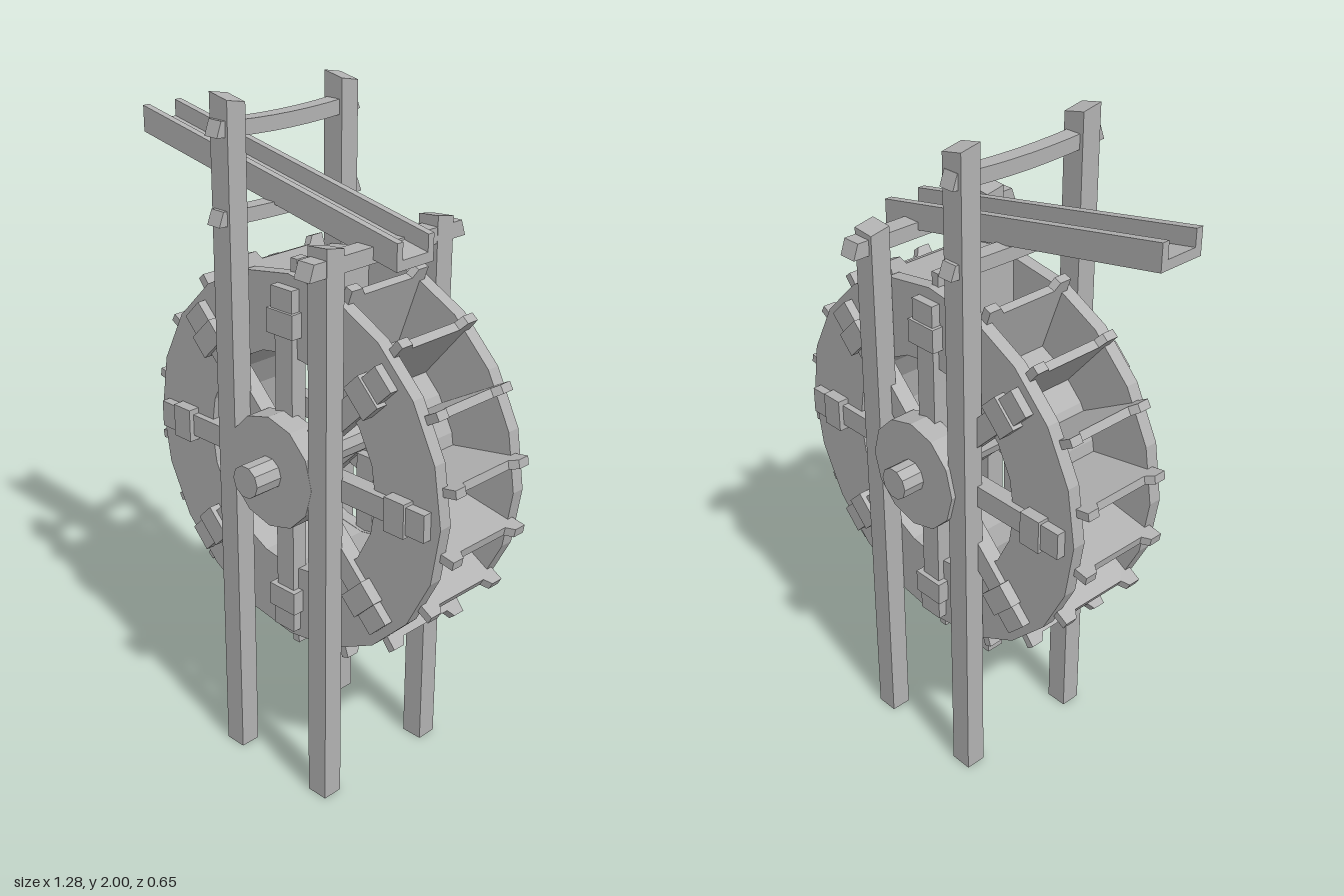
import * as THREE from 'three';

const wood = new THREE.MeshStandardMaterial({ color: 0xb2b2b2 });
wood.name = 'grey wood';

function add(parent, name, geometry, x = 0, y = 0, z = 0) {
  const mesh = new THREE.Mesh(geometry, wood);
  mesh.name = name;
  mesh.position.set(x, y, z);
  parent.add(mesh);
  return mesh;
}

// Move every vertex by a rule, then refresh the normals
function reshape(geometry, rule) {
  const p = geometry.attributes.position;
  const v = new THREE.Vector3();
  for (let i = 0; i < p.count; i++) {
    v.fromBufferAttribute(p, i);
    rule(v);
    p.setXYZ(i, v.x, v.y, v.z);
  }
  geometry.computeVertexNormals();
  return geometry;
}

function polygon(Type, radius, sides) {
  const points = [];
  for (let i = 0; i < sides; i++) {
    const a = (i / sides) * Math.PI * 2;
    points.push(new THREE.Vector2(Math.cos(a) * radius, Math.sin(a) * radius));
  }
  return new Type(points);
}

// Flat outline extruded along z and centred on it
function plate(shape, depth) {
  const g = new THREE.ExtrudeGeometry(shape, { depth, bevelEnabled: false });
  return g.translate(0, 0, -depth / 2);
}

function ring(outer, inner, sides, depth) {
  const shape = polygon(THREE.Shape, outer, sides);
  shape.holes.push(polygon(THREE.Path, inner, sides));
  return plate(shape, depth);
}

function buildWheel() {
  const wheel = new THREE.Group();
  wheel.name = 'waterWheel';

  add(wheel, 'axle', plate(polygon(THREE.Shape, 0.048, 10), 0.65), 0, 0, 0.01);
  add(wheel, 'innerDrum', ring(0.35, 0.328, 20, 0.27));

  // Paddles with raised lugs at both ends of the outer edge
  const outline = [[0.147, 0.53], [0.147, 0.59], [0.108, 0.59], [0.092, 0.567]];
  const paddle = new THREE.Shape();
  paddle.moveTo(-0.13, 0.335);
  paddle.lineTo(0.13, 0.335);
  paddle.lineTo(0.13, 0.53);
  outline.forEach(([w, r]) => paddle.lineTo(w, r));
  outline.slice().reverse().forEach(([w, r]) => paddle.lineTo(-w, r));
  paddle.lineTo(-0.13, 0.53);
  const paddleGeometry = plate(paddle, 0.025).rotateY(Math.PI / 2);
  for (let i = 0; i < 18; i++) {
    add(wheel, 'paddle', paddleGeometry).rotation.z = (i / 18) * Math.PI * 2;
  }

  const rimGeometry = ring(0.553, 0.327, 20, 0.04);
  const hubGeometry = plate(polygon(THREE.Shape, 0.166, 12), 0.08);
  const spokeGeometry = new THREE.BoxGeometry(0.066, 0.4, 0.05);
  const clampGeometry = new THREE.BoxGeometry(0.1, 0.07, 0.06);
  const endGeometry = new THREE.BoxGeometry(0.08, 0.07, 0.05);
  for (const side of [1, -1]) {
    add(wheel, 'rim', rimGeometry, 0, 0, side * 0.148);
    add(wheel, 'hub', hubGeometry, 0, 0, side * 0.207);
    for (let i = 0; i < 8; i++) {
      const spoke = new THREE.Group();
      spoke.name = 'spoke';
      spoke.rotation.z = (i / 8) * Math.PI * 2;
      add(spoke, 'spokeBeam', spokeGeometry, 0, 0.28, side * 0.163);
      add(spoke, 'spokeClamp', clampGeometry, 0, 0.422, side * 0.173);
      add(spoke, 'spokeEnd', endGeometry, 0, 0.485, side * 0.17);
      wheel.add(spoke);
    }
  }
  return wheel;
}

// Upright with a top cut on a slant towards one side
function post(height, slant) {
  const g = new THREE.BoxGeometry(0.068, height, 0.063).translate(0, height / 2, 0);
  return reshape(g, (v) => {
    if (v.y > 0.1) v.y -= 0.013 + Math.sign(v.x) * slant - Math.sign(v.z) * 0.006;
  });
}

// Horizontal tie along z with a gentle sag and slanted ends
function tie(width, height, length, sag) {
  const g = new THREE.BoxGeometry(width, height, length, 1, 1, 8);
  return reshape(g, (v) => {
    const t = (2 * v.z) / length;
    v.y -= sag * (1 - t * t);
    if (Math.abs(t) > 0.99) v.z -= Math.sign(v.y * v.z) * 0.008;
  });
}

function buildTrough() {
  const u = new THREE.Shape();
  [[-0.07, -0.038], [0.07, -0.038], [0.07, 0.038], [0.048, 0.038],
    [0.048, -0.01], [-0.048, -0.01], [-0.048, 0.038], [-0.07, 0.038]]
    .forEach(([x, y], i) => (i ? u.lineTo(x, y) : u.moveTo(x, y)));
  // The channel runs downhill with upright ends
  return reshape(plate(u, 0.995).rotateY(Math.PI / 2), (v) => { v.y -= v.x * 0.198; });
}

export function createModel() {
  const model = new THREE.Group();
  model.name = 'waterMill';

  const wheel = buildWheel();
  wheel.position.set(0.053, 0.99, -0.012);
  model.add(wheel);

  // Four uprights
  for (const z of [0.203, -0.214]) {
    add(model, 'tallPost', post(2, 0.007), -0.118, 0, z);
    add(model, 'shortPost', post(1.68, -0.003), 0.24, 0, z);
  }

  // Cross ties and the water channel they carry
  add(model, 'topTie', tie(0.048, 0.042, 0.51, 0.012), -0.117, 1.913, 0);
  add(model, 'middleTie', tie(0.048, 0.04, 0.52, 0.008), -0.117, 1.677, -0.005);
  add(model, 'lowerTie', tie(0.056, 0.045, 0.575, 0), 0.245, 1.622, -0.002);
  add(model, 'trough', buildTrough(), -0.143, 1.731, -0.004);

  return model;
}
